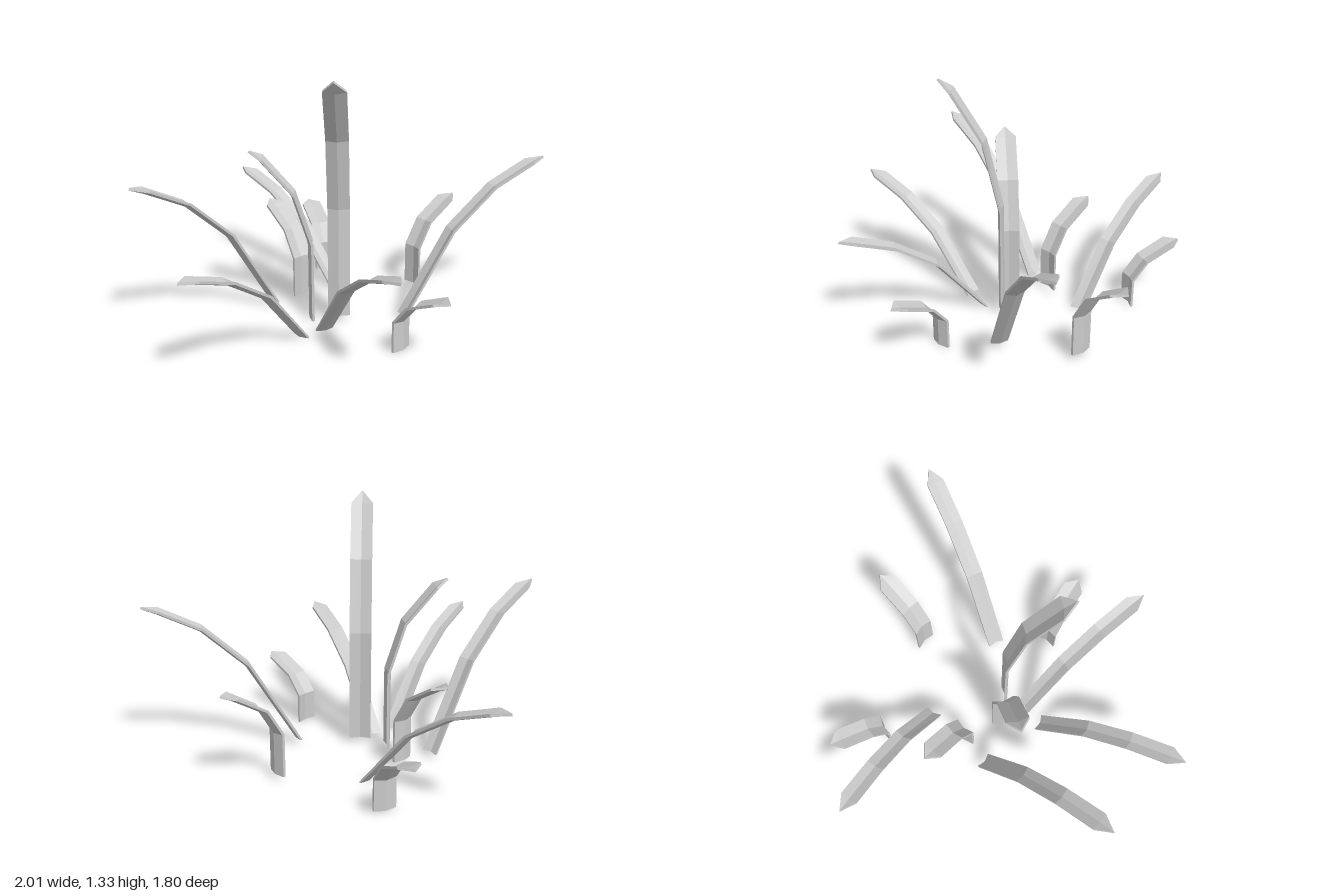
import * as THREE from 'three';

const material = new THREE.MeshStandardMaterial({ color: 0xcccccc, flatShading: true });

// Side profiles: [outward reach, fraction of height, half width]; the last row is the pointed tip.
const UPRIGHT = [[0, 0, 0.057], [0, 0.455, 0.057], [0.085, 0.745, 0.057], [0.245, 0.95, 0.057], [0.3, 1, 0]];
const ARCHING = [[0, 0, 0.046], [0.265, 0.56, 0.046], [0.495, 0.825, 0.046], [0.705, 0.96, 0.046], [0.78, 1, 0]];
const FOLD = 0.014, THICK = 0.013;

// A folded blade growing up along y and leaning towards +z
function bladeGeometry(profile, height) {
  const path = profile.map(([r, f]) => new THREE.Vector2(r, f * height));
  const rings = profile.map(([, , w], i) => {
    const before = path[Math.max(i - 1, 0)], after = path[Math.min(i + 1, path.length - 1)];
    const t = after.clone().sub(before).normalize();
    // Offset direction towards the underside; the foot is cut level
    const n = i === 0 ? new THREE.Vector2(1, 0) : new THREE.Vector2(t.y, -t.x);
    const at = (x, d) => new THREE.Vector3(x, path[i].y + n.y * d, path[i].x + n.x * d);
    const edge = w === 0 ? FOLD : 0;
    return [at(-w, edge), at(0, FOLD), at(w, edge),
      at(w, edge + THICK), at(0, FOLD + THICK), at(-w, edge + THICK)];
  });
  const points = [];
  const tri = (a, b, c) => {
    const area = b.clone().sub(a).cross(c.clone().sub(a)).length();
    if (area > 1e-9) points.push(a, b, c);
  };
  for (let i = 0; i < rings.length - 1; i++) {
    for (let j = 0; j < 6; j++) {
      const k = (j + 1) % 6, lo = rings[i], hi = rings[i + 1];
      tri(lo[j], hi[j], lo[k]);
      tri(lo[k], hi[j], hi[k]);
    }
  }
  // Close the foot
  const b = rings[0];
  [[0, 1, 4], [0, 4, 5], [1, 2, 3], [1, 3, 4]].forEach(([p, q, r]) => tri(b[p], b[q], b[r]));
  const geometry = new THREE.BufferGeometry().setFromPoints(points);
  geometry.computeVertexNormals();
  return geometry;
}

// [foot x, foot y, foot z, tip x, tip y, tip z]
const uprightBlades = [
  [-0.065, 0.03, 0.06, -0.065, 1.335, 0.37],
  [-0.2, 0, 0.037, -0.51, 0.935, 0.08],
  [0.325, 0.03, -0.35, 0.56, 0.53, -0.55],
  [-0.28, 0.03, -0.175, -0.49, 0.53, -0.4],
  [0.25, 0, 0.36, 0.48, 0.36, 0.57],
  [-0.193, 0, -0.622, -0.32, 0.36, -0.905],
];
const archingBlades = [
  [-0.43, 0.03, -0.1, -1, 0.85, 0.435],
  [0.26, 0.03, 0.065, 0.995, 0.85, -0.215],
  [-0.1, 0, -0.345, -0.71, 0.59, -0.83],
  [-0.24, 0, 0.245, -0.68, 0.59, 0.895],
  [-0.14, 0, 0.17, 0.24, 0.59, 0.855],
];

export function createModel() {
  const model = new THREE.Group();
  model.name = 'grassTuft';
  const plant = (list, profile, name) => list.forEach(([x, y, z, tx, ty, tz], i) => {
    const blade = new THREE.Mesh(bladeGeometry(profile, ty - y), material);
    blade.name = name + (i + 1);
    blade.position.set(x, y, z);
    blade.rotation.y = Math.atan2(tx - x, tz - z);
    model.add(blade);
  });
  plant(uprightBlades, UPRIGHT, 'uprightBlade');
  plant(archingBlades, ARCHING, 'archingBlade');
  return model;
}
